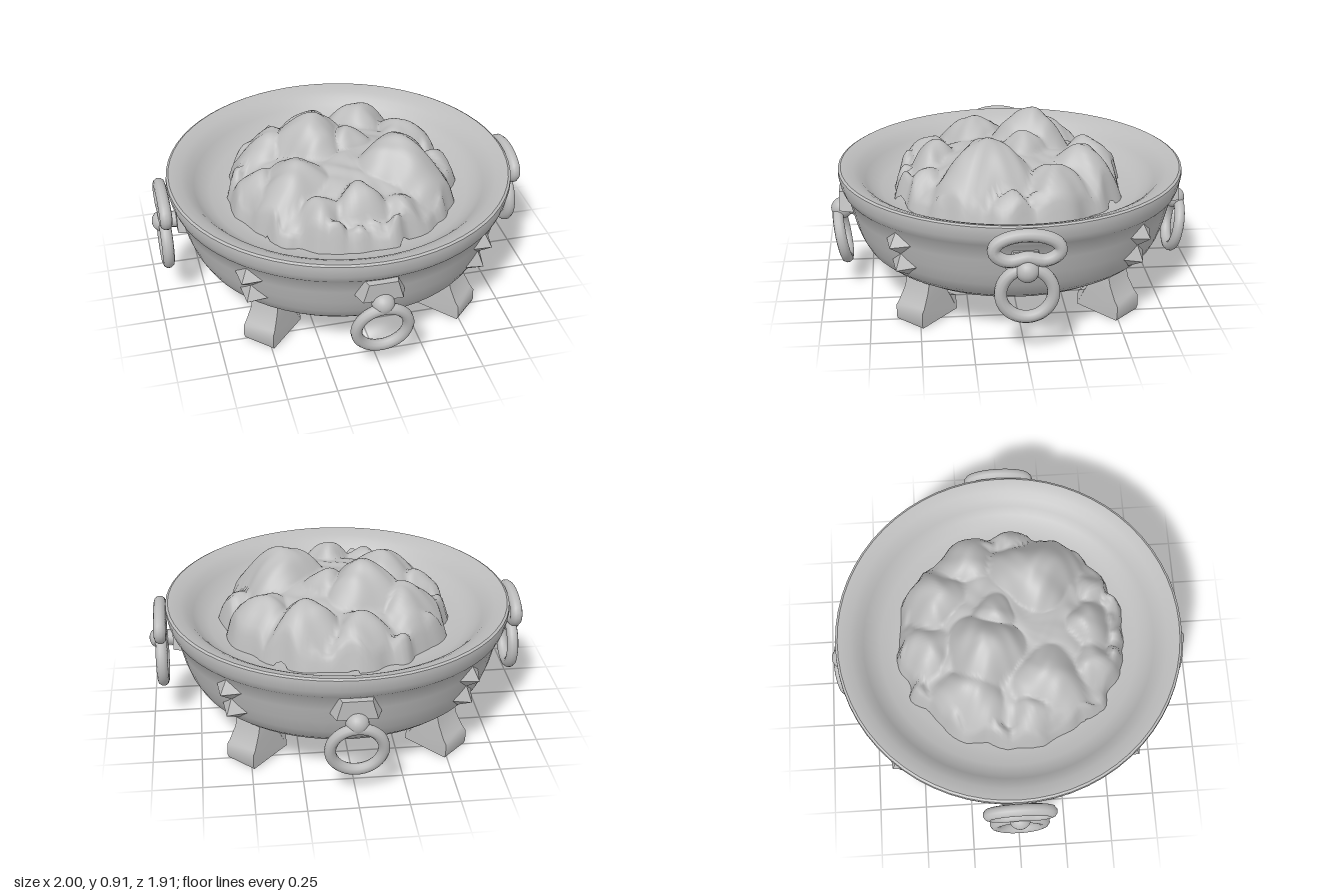
import * as THREE from 'three';
import { toCreasedNormals } from 'three/addons/utils/BufferGeometryUtils.js';

const stone = new THREE.MeshStandardMaterial({ color: 0xbcbcbc });
stone.name = 'pale grey';

function add(parent, geometry, name, x = 0, y = 0, z = 0) {
  const mesh = new THREE.Mesh(geometry, stone);
  mesh.name = name;
  mesh.position.set(x, y, z);
  parent.add(mesh);
  return mesh;
}

// Outer wall, rim lip with a gentle inner bevel, and the hollow in one turned profile
function bowlGeometry() {
  const profile = [
    [0, 0.115], [0.4, 0.118], [0.54, 0.135], [0.66, 0.18], [0.735, 0.225], [0.77, 0.255],
    [0.8, 0.31], [0.825, 0.38], [0.845, 0.46], [0.865, 0.535],
    [0.885, 0.555], [0.898, 0.59], [0.907, 0.635], [0.905, 0.655], [0.893, 0.662], [0.87, 0.657],
    [0.83, 0.642], [0.795, 0.622], [0.765, 0.59], [0.73, 0.555], [0.68, 0.53], [0.6, 0.515], [0, 0.5],
  ].map(([r, y]) => new THREE.Vector2(r, y));
  return toCreasedNormals(new THREE.LatheGeometry(profile, 64), 0.7);
}

// Rocks in the heap: x, z, top height, radius
const rocks = [
  [-0.13, -0.13, 0.91, 0.18], [0.26, 0.13, 0.88, 0.2], [-0.27, 0.16, 0.82, 0.2],
  [0, 0.38, 0.79, 0.14], [0.18, -0.36, 0.81, 0.17], [-0.32, -0.2, 0.8, 0.19],
  [0.37, -0.2, 0.77, 0.18], [-0.08, -0.42, 0.76, 0.17], [0.05, -0.08, 0.84, 0.15],
  [0.4, 0.28, 0.7, 0.15], [0.2, 0.42, 0.71, 0.14], [-0.2, 0.4, 0.74, 0.15],
  [-0.44, 0.08, 0.74, 0.15], [0.5, 0.02, 0.69, 0.14], [-0.42, -0.3, 0.69, 0.12],
];

// Small lumps round the lower edge
for (let i = 0; i < 26; i++) {
  const a = (i / 26) * Math.PI * 2 + 0.08 * Math.sin(i * 5.3);
  const r = 0.535 + 0.035 * Math.sin(i * 2.7);
  rocks.push([r * Math.cos(a), r * Math.sin(a), 0.655 + 0.025 * Math.sin(i * 4.1), 0.085]);
}

function heapHeight(x, z, t) {
  let h = 0.54 + 0.22 * (1 - t ** 2.5);
  for (const [rx, rz, top, radius] of rocks) {
    const wobble = 1 + 0.12 * Math.sin(3 * Math.atan2(z - rz, x - rx) + rx * 20);
    const d = Math.hypot(x - rx, z - rz) / (radius * wobble);
    h = Math.max(h, top - 0.15 * d ** 1.8);
  }
  const roughness = 0.007 * Math.sin(x * 31 + 2 * Math.sin(z * 17)) * Math.sin(z * 29);
  return h + roughness - 0.1 * Math.max(0, t - 0.93) / 0.07;
}

// Heap built from rings running from the middle out to a lumpy edge
function heapGeometry() {
  const rings = 48, sides = 144, positions = [], index = [];
  for (let i = 0; i <= rings; i++) {
    for (let j = 0; j < sides; j++) {
      const a = (j / sides) * Math.PI * 2, t = i / rings;
      const edge = 0.617 + 0.022 * Math.sin(a * 17) * Math.sin(a * 3 + 1) + 0.012 * Math.sin(a * 9);
      const x = t * edge * Math.cos(a), z = t * edge * Math.sin(a);
      positions.push(x, heapHeight(x, z, t), z);
      if (i < rings) {
        const p = i * sides + j, q = i * sides + (j + 1) % sides;
        index.push(p, q, p + sides, q, q + sides, p + sides);
      }
    }
  }
  const geometry = new THREE.BufferGeometry();
  geometry.setAttribute('position', new THREE.Float32BufferAttribute(positions, 3));
  geometry.setIndex(index);
  geometry.computeVertexNormals();
  return geometry;
}

// Oval ring in the xy plane, with an optional dip in its lower side
function ringGeometry(rx, ry, tube, dip = 0) {
  const points = [];
  for (let i = 0; i < 24; i++) {
    const a = (i / 24) * Math.PI * 2;
    const x = rx * Math.cos(a);
    const pinch = Math.sin(a) < 0 ? dip * Math.exp(-((x / 0.06) ** 2)) : 0;
    points.push(new THREE.Vector3(x, ry * Math.sin(a) + pinch, 0));
  }
  return new THREE.TubeGeometry(new THREE.CatmullRomCurve3(points, true), 48, tube, 10, true);
}

// Foot: side profile extruded, narrowing slightly towards the top
function footGeometry() {
  const profile = [[0.53, 0.018], [0.78, 0], [0.787, 0.02], [0.785, 0.08], [0.768, 0.1], [0.73, 0.17],
    [0.71, 0.25], [0.6, 0.25], [0.59, 0.14], [0.575, 0.11], [0.535, 0.095]];
  const shape = new THREE.Shape(profile.map(([x, y]) => new THREE.Vector2(x, y)));
  const geometry = new THREE.ExtrudeGeometry(shape, { depth: 0.18, bevelEnabled: false });
  geometry.translate(0, 0, -0.09);
  const p = geometry.attributes.position;
  for (let i = 0; i < p.count; i++) {
    p.setZ(i, p.getZ(i) * (1 - 0.14 * Math.min(1, Math.max(0, (p.getY(i) - 0.08) / 0.1))));
  }
  geometry.rotateY(-Math.PI / 2); // foot points along +z
  return toCreasedNormals(geometry, 0.7);
}

// Mounting plate, wider at the bottom and bevelled towards the front
function plateGeometry(width, height, depth) {
  const geometry = new THREE.BoxGeometry(width, height, depth);
  const p = geometry.attributes.position;
  for (let i = 0; i < p.count; i++) {
    const front = p.getZ(i) > 0, high = p.getY(i) > 0;
    p.setX(i, p.getX(i) * (front ? 0.8 : 1) * (high ? 0.72 : 1));
  }
  geometry.computeVertexNormals();
  return geometry;
}

// Broad four-sided stud with its point along +z
function studGeometry() {
  const geometry = new THREE.ConeGeometry(0.1, 0.08, 4).toNonIndexed();
  geometry.rotateX(Math.PI / 2);
  geometry.scale(1, 0.85, 1);
  geometry.computeVertexNormals();
  return geometry;
}

export function createModel() {
  const model = new THREE.Group();
  model.name = 'brazier';
  add(model, bowlGeometry(), 'bowl');
  add(model, heapGeometry(), 'coalHeap', 0.012, 0, 0.012);

  // Feet and paired studs on the diagonals
  const foot = footGeometry(), stud = studGeometry();
  for (let i = 0; i < 4; i++) {
    const corner = new THREE.Group();
    corner.name = 'corner';
    corner.rotation.y = Math.PI / 4 + (i * Math.PI) / 2;
    model.add(corner);
    add(corner, foot, 'foot');
    add(corner, stud, 'upperStud', 0, 0.465, 0.868).rotation.x = 0.2;
    add(corner, stud, 'lowerStud', 0, 0.335, 0.832).rotation.x = 0.33;
  }

  // Hanging rings at front and back
  const ball = new THREE.SphereGeometry(0.057, 20, 14);
  const stem = new THREE.CylinderGeometry(0.035, 0.05, 0.12, 12).rotateX(Math.PI / 2);
  const hoop = ringGeometry(0.131, 0.13, 0.029);
  for (const turn of [0, Math.PI]) {
    const mount = new THREE.Group();
    mount.name = 'ringMount';
    mount.rotation.y = turn;
    model.add(mount);
    add(mount, plateGeometry(0.25, 0.1, 0.07), 'mountPlate', 0, 0.49, 0.868);
    add(mount, stem, 'ringStem', 0, 0.425, 0.85);
    add(mount, ball, 'ringBall', 0, 0.418, 0.896);
    add(mount, hoop, 'hangingRing', 0, 0.27, 0.896).rotation.x = 0.17;
  }

  // Double ring handles at the sides
  const upper = ringGeometry(0.158, 0.072, 0.032, 0.03);
  const lower = ringGeometry(0.126, 0.125, 0.031);
  for (const side of [1, -1]) {
    const handle = new THREE.Group();
    handle.name = side > 0 ? 'leftHandle' : 'rightHandle';
    handle.rotation.y = (side * Math.PI) / 2;
    model.add(handle);
    add(handle, plateGeometry(0.2, 0.1, 0.06), 'mountPlate', 0, 0.47, 0.845);
    add(handle, stem, 'handleStem', 0, 0.455, 0.885);
    add(handle, ball, 'handleBall', 0, 0.455, 0.943);
    add(handle, upper, 'upperRing', 0, 0.56, 0.937);
    add(handle, lower, 'lowerRing', 0, 0.338, 0.938);
  }
  return model;
}
